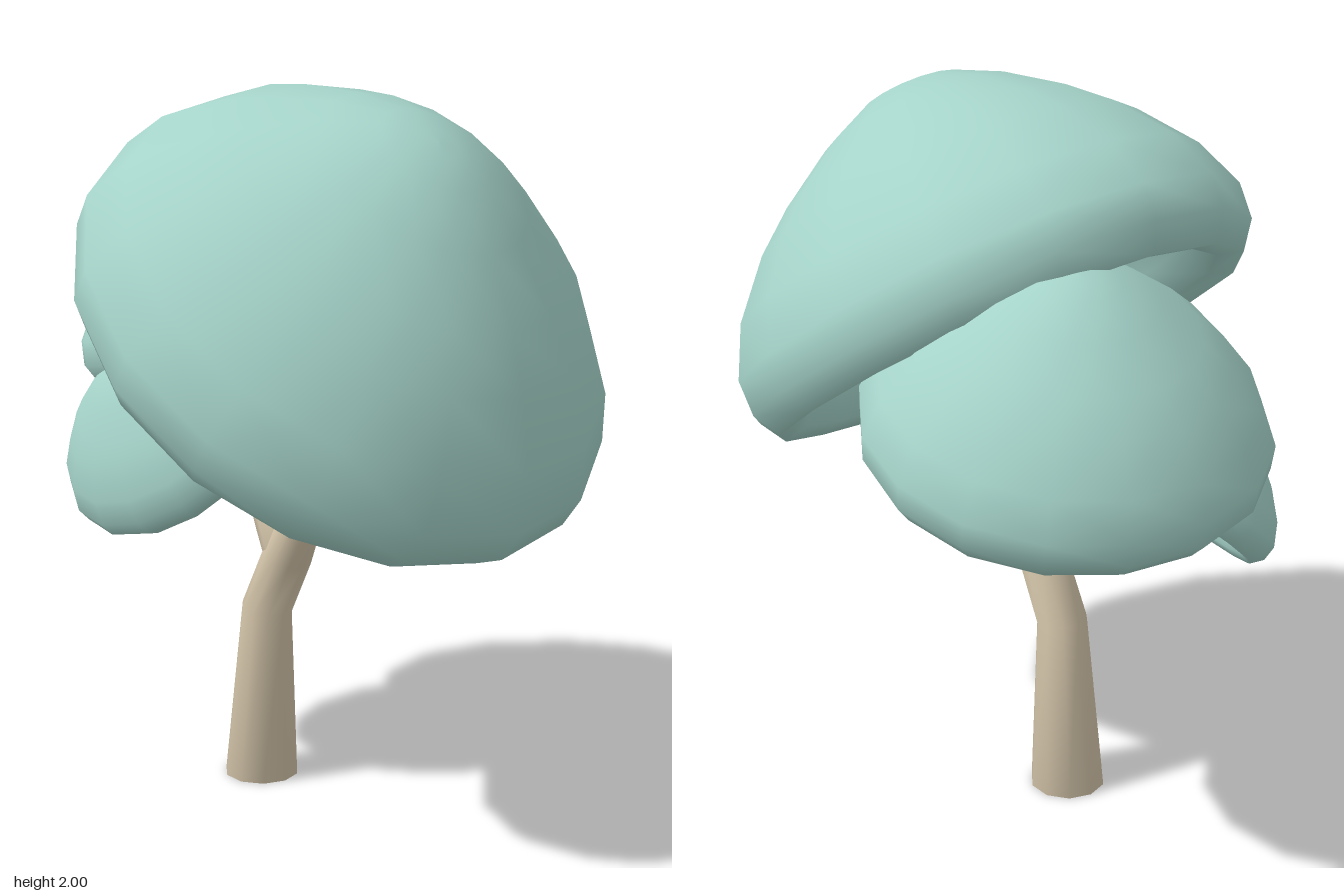
import * as THREE from 'three';

const bark = new THREE.MeshStandardMaterial({ color: 0xd4c5aa });
const leaf = new THREE.MeshStandardMaterial({ color: 0xa5d3c9 });

// Hollow cap profile: inside crown, down to the rolled rim, up the outer dome
const capProfile = [
  [0, 0.6], [0.22, 0.55], [0.42, 0.42], [0.57, 0.24], [0.61, 0.1], [0.66, 0.01],
  [0.735, -0.005], [0.79, 0.07], [0.795, 0.17], [0.73, 0.31], [0.6, 0.46],
  [0.48, 0.56], [0.31, 0.675], [0.16, 0.75], [0.06, 0.77], [0, 0.772],
].map(([r, y]) => new THREE.Vector2(r, y));

// One foliage cap with its rim centre, the direction it faces and its scale
function canopy(name, centre, facing, scale) {
  const geometry = new THREE.LatheGeometry(capProfile, 16);
  // The rim sags a little at the front and back
  const pos = geometry.attributes.position;
  for (let i = 0; i < pos.count; i++) {
    const y = pos.getY(i);
    pos.setY(i, y - 0.035 * (pos.getZ(i) / 0.79) ** 2 * (1 - y / 0.775));
  }
  const mesh = new THREE.Mesh(geometry, leaf);
  mesh.name = name;
  mesh.position.set(...centre);
  mesh.scale.set(...scale);
  mesh.quaternion.setFromUnitVectors(
    new THREE.Vector3(0, 1, 0), new THREE.Vector3(...facing).normalize());
  return mesh;
}

// Tapered limb through [x, y, z, radius] stations, closed at both ends
function limb(name, stations, sides = 10, flatBase = false) {
  const pts = stations.map(([x, y, z]) => new THREE.Vector3(x, y, z));
  const last = pts.length - 1;
  const positions = [], index = [];
  const addRing = (i, radius) => {
    const tangent = flatBase && i === 0
      ? new THREE.Vector3(0, 1, 0)
      : pts[Math.min(i + 1, last)].clone().sub(pts[Math.max(i - 1, 0)]).normalize();
    const u = new THREE.Vector3().crossVectors(tangent, new THREE.Vector3(0, 0, 1)).normalize();
    const v = new THREE.Vector3().crossVectors(u, tangent);
    for (let k = 0; k < sides; k++) {
      const a = (k / sides) * Math.PI * 2;
      const p = pts[i].clone()
        .addScaledVector(u, Math.cos(a) * radius)
        .addScaledVector(v, Math.sin(a) * radius);
      positions.push(p.x, p.y, p.z);
    }
  };
  addRing(0, 0.001);
  stations.forEach((s, i) => addRing(i, s[3]));
  addRing(last, 0.001);
  for (let i = 0; i < stations.length + 1; i++) {
    for (let k = 0; k < sides; k++) {
      const a = i * sides + k, b = i * sides + (k + 1) % sides;
      index.push(a, a + sides, b, b, a + sides, b + sides);
    }
  }
  const geometry = new THREE.BufferGeometry();
  geometry.setAttribute('position', new THREE.Float32BufferAttribute(positions, 3));
  geometry.setIndex(index);
  geometry.computeVertexNormals();
  const mesh = new THREE.Mesh(geometry, bark);
  mesh.name = name;
  return mesh;
}

export function createModel() {
  const tree = new THREE.Group();
  tree.name = 'tree';

  // Trunk and branches
  const wood = new THREE.Group();
  wood.name = 'wood';
  wood.add(
    limb('trunk', [
      [-0.153, 0, 0, 0.107], [-0.125, 0.51, 0, 0.073], [-0.03, 0.69, 0, 0.07],
      [0.097, 0.93, 0, 0.047], [0.117, 1.12, 0, 0.037], [0.1, 1.18, 0, 0.034],
      [0.06, 1.26, 0, 0.024], [0.05, 1.31, 0, 0.02],
    ], 10, true),
    limb('upperTwig', [
      [0.115, 1.1, 0, 0.034], [0.14, 1.17, 0, 0.036], [0.175, 1.21, 0, 0.026],
      [0.21, 1.27, 0, 0.02],
    ], 8),
    limb('sideBranch', [
      [-0.06, 0.58, 0, 0.03], [-0.045, 0.68, 0, 0.06], [-0.085, 0.77, 0, 0.06],
      [-0.14, 0.85, 0.01, 0.04], [-0.175, 0.92, 0.02, 0.028],
      [-0.19, 1.08, 0.02, 0.019], [-0.2, 1.3, 0.01, 0.013],
    ], 8),
    limb('sideTwig', [
      [-0.15, 0.86, 0.01, 0.028], [-0.22, 0.91, 0, 0.024],
      [-0.36, 1.02, -0.03, 0.017], [-0.38, 1.09, -0.03, 0.014],
    ], 8),
  );
  tree.add(wood);

  // Foliage caps
  const foliage = new THREE.Group();
  foliage.name = 'foliage';
  foliage.add(
    canopy('largeCanopy', [0.125, 1.27, 0], [0.574, 0.819, 0], [1.01, 0.995, 0.9]),
    canopy('backCanopy', [-0.34, 1.155, -0.175], [-0.21, 0.96, -0.08], [0.7, 0.7, 0.665]),
    canopy('smallCanopy', [-0.35, 0.985, 0.09], [-0.09, 0.74, 0.66], [0.5, 0.42, 0.48]),
  );
  tree.add(foliage);
  return tree;
}
